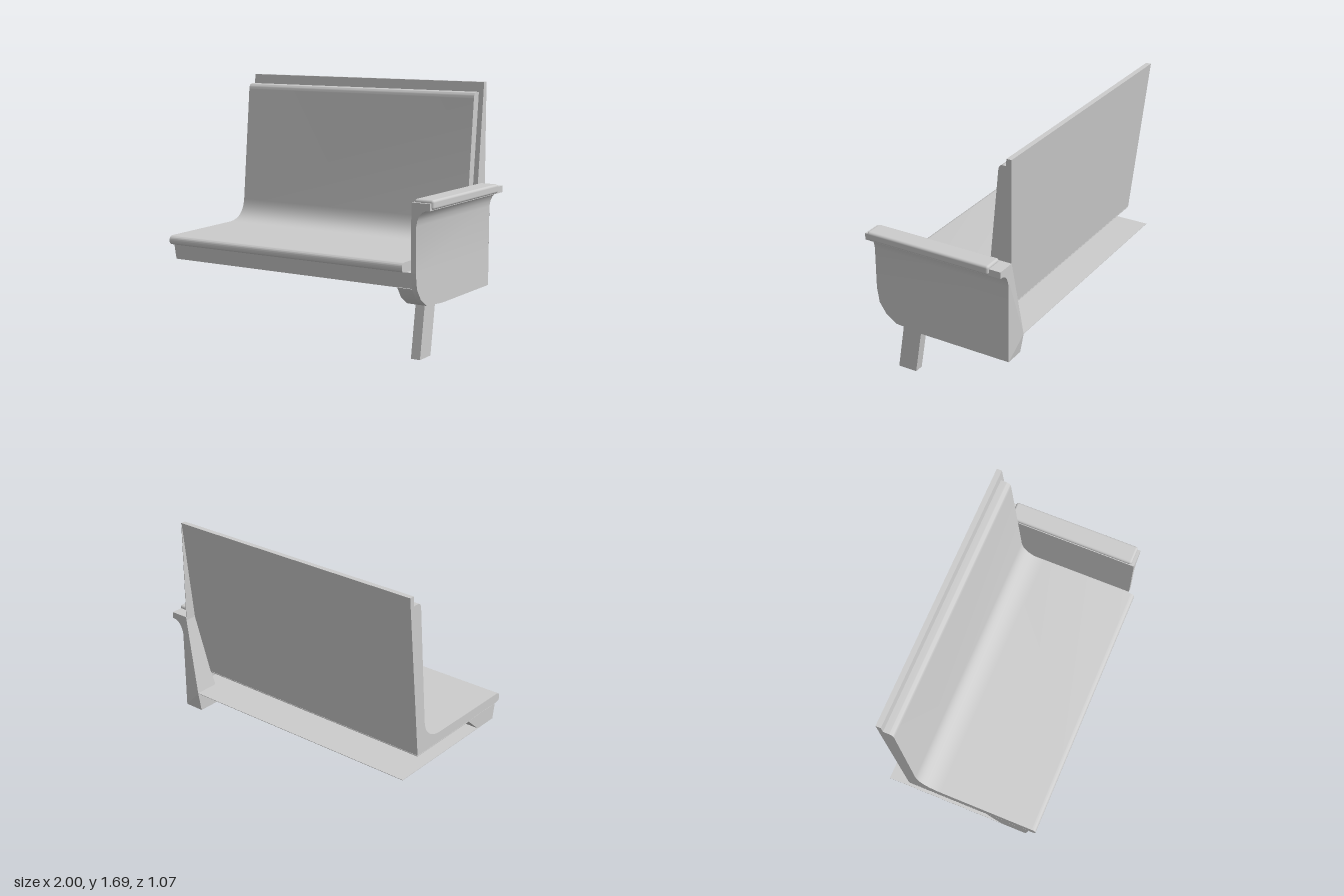
import * as THREE from 'three';
import { toCreasedNormals } from 'three/addons/utils/BufferGeometryUtils.js';
import { RoundedBoxGeometry } from 'three/addons/geometries/RoundedBoxGeometry.js';

export function createModel() {
  const group = new THREE.Group();
  const grey = new THREE.MeshStandardMaterial({ color: 0xcccccc, side: THREE.DoubleSide });
  grey.name = 'light grey';

  const add = (name, geometry) => {
    const mesh = new THREE.Mesh(geometry, grey);
    mesh.name = name;
    group.add(mesh);
    return mesh;
  };
  const polygon = (pts) => new THREE.Shape(pts.map(([a, b]) => new THREE.Vector2(a, b)));

  // Extrudes a side profile, given as (z, y), across the width from x0 to x1
  const across = (shape, x0, x1) => {
    const g = new THREE.ExtrudeGeometry(shape, { depth: x1 - x0, bevelEnabled: false, curveSegments: 10 });
    g.rotateY(-Math.PI / 2).translate(x1, 0, 0);
    return toCreasedNormals(g, 0.6);
  };

  // One-piece seat and back cushion with rounded front lip and top
  const c = new THREE.Shape();
  c.moveTo(-0.38, 0.577);
  c.lineTo(0.505, 0.577);
  c.quadraticCurveTo(0.535, 0.58, 0.535, 0.607);
  c.quadraticCurveTo(0.535, 0.637, 0.505, 0.64);
  c.lineTo(-0.15, 0.645);
  c.bezierCurveTo(-0.25, 0.65, -0.305, 0.7, -0.317, 0.79);
  c.lineTo(-0.393, 1.585);
  c.quadraticCurveTo(-0.397, 1.625, -0.425, 1.625);
  c.lineTo(-0.475, 1.625);
  add('cushion', across(c, -1, 0.82));

  // Tilted back board and the cap that closes its end
  const board = polygon([[-0.355, 0.577], [-0.47, 1.69], [-0.505, 1.69], [-0.38, 0.577]]);
  add('backBoard', across(board, -1, 0.853));
  const cap = polygon([[-0.505, 0.577], [-0.355, 0.577], [-0.47, 1.69], [-0.505, 1.69]]);
  add('backBoardEndCap', across(cap, 0.851, 0.854));

  // Seat deck, front apron and underside sheet
  add('seatDeck', across(polygon([[-0.38, 0.57], [0.483, 0.57], [0.483, 0.575], [-0.38, 0.575]]), -1, 0.855));
  add('frontApron', across(polygon([[0.18, 0.57], [0.29, 0.472], [0.465, 0.472], [0.485, 0.575], [0.18, 0.575]]), -1, 0.855));
  add('underside', across(polygon([[-0.53, 0.47], [0.465, 0.47], [0.465, 0.473], [-0.53, 0.473]]), -1, 0.75));

  // Arm: flared upper section running front to back
  const flare = polygon([[0.855, 0.575], [0.89, 0.575], [0.89, 0.865], [0.897, 0.9], [0.91, 0.93],
    [0.93, 0.952], [0.955, 0.964], [0.983, 0.966], [0.983, 1.01], [0.855, 1.01]]);
  const upper = new THREE.ExtrudeGeometry(flare, { depth: 0.99, bevelEnabled: false });
  add('armPanel', toCreasedNormals(upper.translate(0, 0, -0.505), 0.6));

  // Arm: lower section and wider foot with a rounded front
  const curve = [[0.42, 0.4], [0.34, 0.346], [0.14, 0.33], [-0.505, 0.33]];
  add('armLower', across(polygon([[-0.505, 0.575], [0.485, 0.575], [0.468, 0.47], ...curve]), 0.855, 0.89));
  add('armFoot', across(polygon([[-0.505, 0.47], [0.468, 0.47], ...curve]), 0.75, 0.855));

  // Faceted rear of the arm, leaning in towards the back board
  const a = [0.75, 0.47, -0.53], b = [0.89, 0.33, -0.505], f = [0.75, 0.33, -0.505];
  const d = [0.89, 0.91, -0.506], e = [0.855, 1.01, -0.506];
  const a2 = [0.75, 0.47, -0.36], e2 = [0.855, 1.01, -0.43], k = [0.75, 0.47, -0.505];
  const faces = [a, b, f, a, d, b, a, e, d, a, a2, e2, a, e2, e, a, f, k];
  const rear = new THREE.BufferGeometry();
  rear.setAttribute('position', new THREE.Float32BufferAttribute(faces.flat(), 3));
  rear.computeVertexNormals();
  add('armRear', rear);

  // Padded arm rest
  add('armPad', new RoundedBoxGeometry(0.135, 0.06, 0.888, 3, 0.016)).position.set(0.928, 1.0, 0.02);

  // Slanted front leg
  add('leg', across(polygon([[0.225, 0], [0.36, 0], [0.303, 0.36], [0.167, 0.36]]), 0.79, 0.855));

  return group;
}
